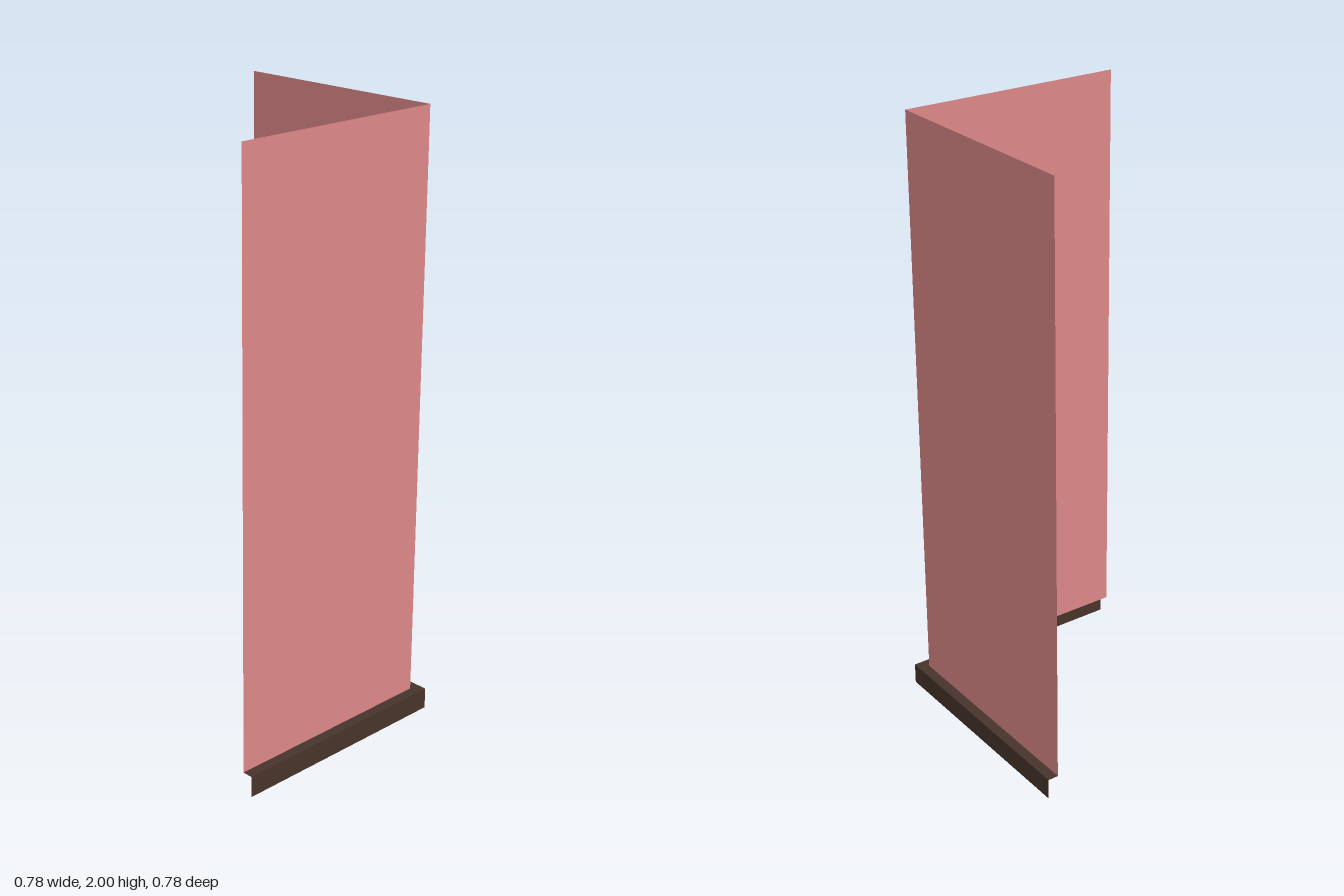
import * as THREE from 'three';

const END = 0.392;     // free ends and outer faces of the skirting
const WALL = 0.357;    // plane of both walls
const LEDGE = 0.07;    // skirting height
const TOP = 2;

// L-shaped path: along the front, round the corner, to the back
const path = (d, y) => [[-END, y, d], [d, y, d], [d, y, -END]];

// Thin sheet folded at the corner, spanning a lower and an upper path
function foldedSheet(name, color, lower, upper) {
  const positions = [];
  for (let i = 0; i < lower.length - 1; i++) {
    const [a, b, c, d] = [lower[i], lower[i + 1], upper[i + 1], upper[i]];
    for (const p of [a, b, c, a, c, d]) positions.push(...p);
  }
  const geometry = new THREE.BufferGeometry();
  geometry.setAttribute('position', new THREE.Float32BufferAttribute(positions, 3));
  geometry.computeVertexNormals();
  const material = new THREE.MeshStandardMaterial({ color, side: THREE.DoubleSide });
  const mesh = new THREE.Mesh(geometry, material);
  mesh.name = name;
  return mesh;
}

export function createModel() {
  const model = new THREE.Group();
  model.name = 'cornerWall';

  // Two wall panels meeting at the corner
  model.add(foldedSheet('wallPanels', 0xdb8787, path(WALL, LEDGE), path(WALL, TOP)));

  // Skirting: outer face and top ledge, open below and behind
  const skirting = new THREE.Group();
  skirting.name = 'skirting';
  skirting.add(
    foldedSheet('skirtingFace', 0x47332a, path(END, 0), path(END, LEDGE)),
    foldedSheet('skirtingLedge', 0x47332a, path(END, LEDGE), path(WALL, LEDGE)),
  );
  model.add(skirting);
  return model;
}
